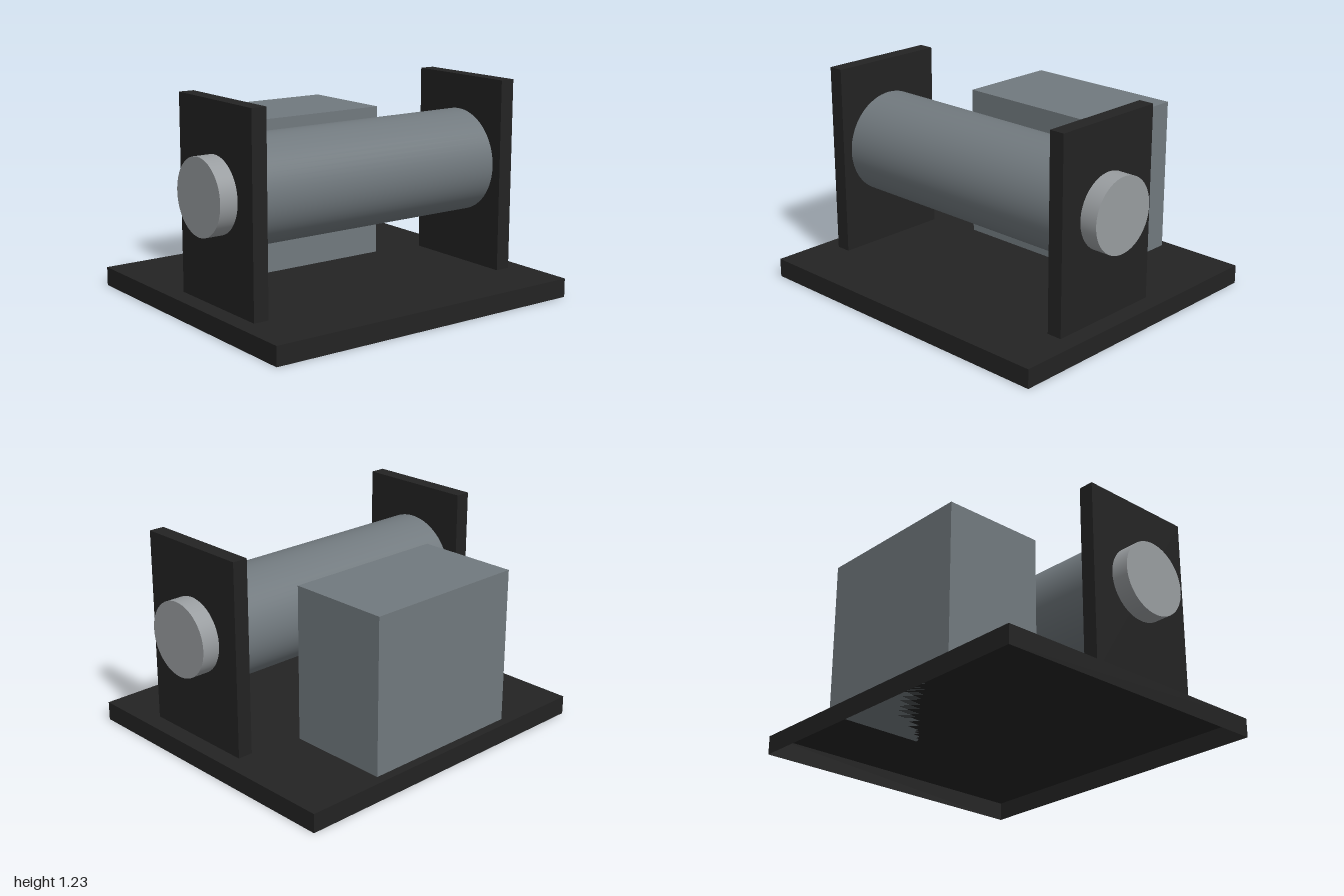
import * as THREE from 'three';

const black = new THREE.MeshStandardMaterial({ color: 0x232323, name: 'black', side: THREE.DoubleSide });
const steel = new THREE.MeshStandardMaterial({ color: 0x71797e, name: 'steel grey' });
const bright = new THREE.MeshStandardMaterial({ color: 0x999da0, name: 'light steel' });

const AXIS_X = 0.176, AXIS_Y = 0.725, BASE_TOP = 0.11;

export function createModel() {
  const model = new THREE.Group();

  const add = (name, geometry, material, x, y, z) => {
    const mesh = new THREE.Mesh(geometry, material);
    mesh.name = name;
    mesh.position.set(x, y, z);
    model.add(mesh);
    return mesh;
  };
  // Cylinder lying along z
  const rod = (radius, length) => new THREE.CylinderGeometry(radius, radius, length, 64).rotateX(Math.PI / 2);

  // Base tray, open underneath: drop the bottom face of the box
  const tray = new THREE.BoxGeometry(1.78, BASE_TOP, 2);
  const bottom = tray.groups[3];
  const faces = Array.from(tray.index.array);
  faces.splice(bottom.start, bottom.count);
  tray.setIndex(faces);
  tray.clearGroups();
  add('base', tray, black, 0, BASE_TOP / 2, 0);

  // Motor housing beside the roller
  add('housing', new THREE.BoxGeometry(0.61, 0.905, 1), steel, -0.531, BASE_TOP + 0.4525, 0);

  // Roller and the shaft running through both supports
  add('roller', rod(0.302, 1.6), steel, AXIS_X, AXIS_Y, 0);
  add('shaft', rod(0.216, 2), bright, AXIS_X, AXIS_Y, 0);

  // Upright supports at each end
  for (const [name, side] of [['frontSupport', 1], ['backSupport', -1]]) {
    add(name, new THREE.BoxGeometry(0.71, 1.12, 0.09), black, AXIS_X, BASE_TOP + 0.56, side * 0.85);
  }

  return model;
}
